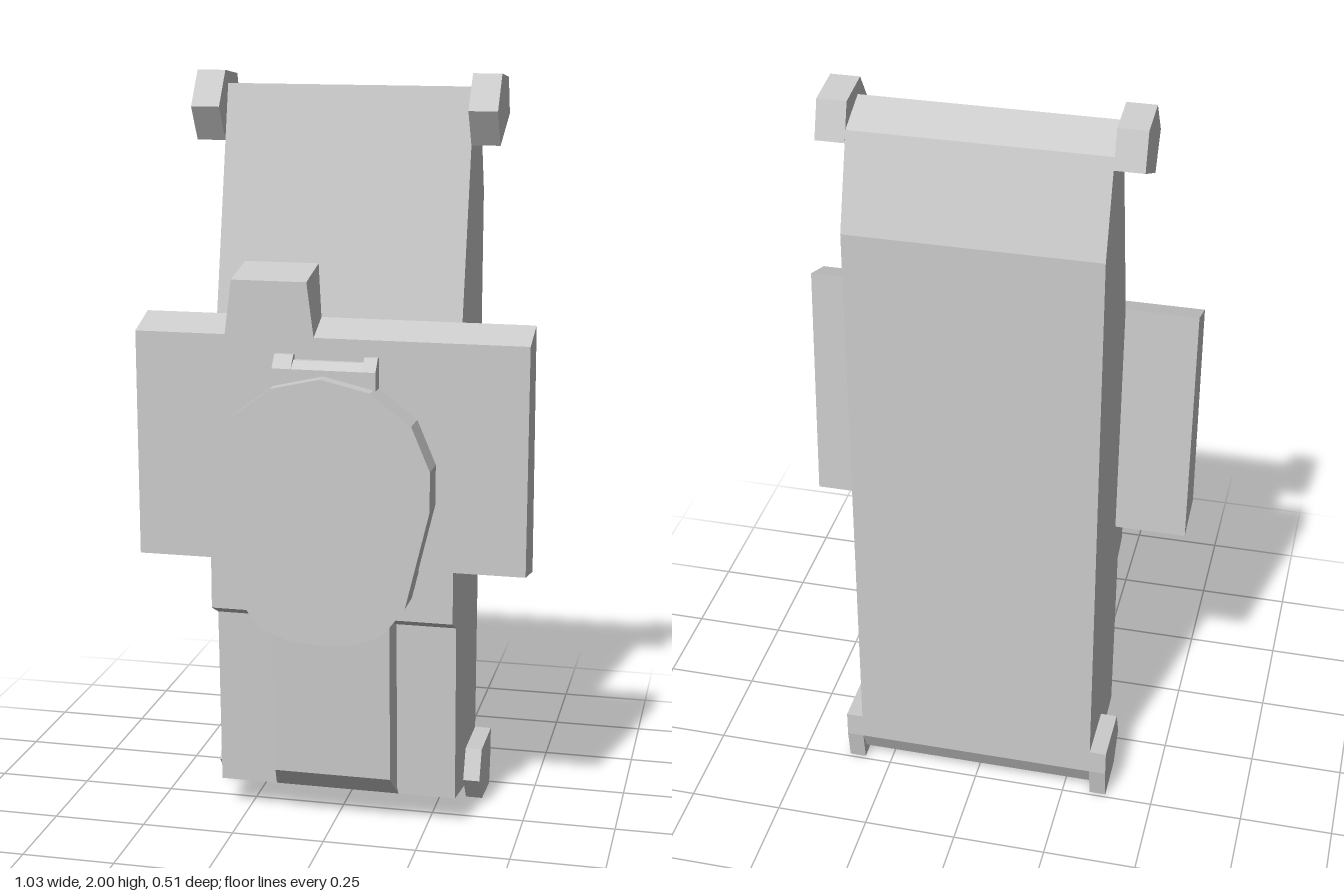
import * as THREE from 'three';

const material = new THREE.MeshStandardMaterial({ color: 0xcccccc, flatShading: true });

const toShape = (points) => new THREE.Shape(points.map(([a, b]) => new THREE.Vector2(a, b)));

// Extrude a side profile of [z, y] points across x0..x1
function sideExtrude(profile, x0, x1) {
  const geo = new THREE.ExtrudeGeometry(toShape(profile), { depth: x1 - x0, bevelEnabled: false });
  return geo.rotateY(-Math.PI / 2).translate(x1, 0, 0);
}

// Scale x about a centre line by a factor that depends on (y, z)
function taper(geo, centre, factor) {
  const p = geo.attributes.position;
  for (let i = 0; i < p.count; i++) {
    p.setX(i, centre + (p.getX(i) - centre) * factor(p.getY(i), p.getZ(i)));
  }
  geo.computeVertexNormals();
  return geo;
}

export function createModel() {
  const model = new THREE.Group();
  const add = (name, geo) => {
    const mesh = new THREE.Mesh(geo, material);
    mesh.name = name;
    model.add(mesh);
  };

  // Main slab with sloped upper front and recessed lower front
  add('body', sideExtrude([
    [-0.255, 0.09], [-0.225, 0.03], [0.08, 0.082], [0.097, 0.57], [0.157, 0.6],
    [0.157, 0.8], [0.065, 1.38], [-0.07, 1.965], [-0.18, 1.92], [-0.255, 1.68],
  ], -0.325, 0.325));

  // Raised panel between the two lower recesses, with slanted sides
  const panel = sideExtrude([
    [0.05, 0.08], [0.08, 0.082], [0.14, 0.145], [0.157, 0.6], [0.05, 0.6],
  ], -0.17, 0.17);
  add('lowerPanel', taper(panel, 0, (y, z) => (z > 0.1 ? 0.93 : 1)));

  // Wide cross plate
  add('crossPlate', sideExtrude([
    [0.035, 0.72], [0.172, 0.745], [0.172, 1.345], [0.065, 1.38],
  ], -0.515, 0.515));

  // Tapered block on top of the plate
  const block = sideExtrude([
    [0.06, 1.345], [0.172, 1.345], [0.172, 1.487], [0.035, 1.515], [0.065, 1.38],
  ], -0.275, -0.04);
  add('topBlock', taper(block, -0.157, (y) => 1 - Math.min(1, (y - 1.345) / 0.145) * 0.16));

  // Egg-shaped front disc
  const half = [
    [0.13, 1.225], [0.235, 1.145], [0.284, 1.03], [0.284, 0.925],
    [0.222, 0.665], [0.165, 0.59], [0.085, 0.556],
  ];
  const outline = [
    [0, 1.255], ...half, [0, 0.55], ...half.slice().reverse().map(([x, y]) => [-x, y]),
  ].reverse();
  const disc = new THREE.ExtrudeGeometry(toShape(outline), { depth: 0.1, bevelEnabled: false });
  add('frontDisc', disc.translate(-0.005, 0, 0.155));

  // Small clip above the disc: notched bar made of a middle and two ends
  const clip = (top) => [[0.165, 1.2], [0.215, 1.2], [0.215, 1.27], [0.186, top], [0.165, top]];
  add('clipMiddle', sideExtrude(clip(1.288), -0.09, 0.095));
  add('clipRight', sideExtrude(clip(1.302), -0.14, -0.09));
  add('clipLeft', sideExtrude(clip(1.302), 0.095, 0.13));

  // Corner bumpers, mirrored left and right
  const upper = [[-0.19, 1.89], [-0.035, 1.82], [0.02, 1.91], [-0.045, 2.0], [-0.16, 1.985]];
  const lower = [
    [-0.255, 0.09], [-0.24, 0], [-0.11, 0.008], [-0.055, 0.08], [-0.09, 0.16], [-0.255, 0.16],
  ];
  for (const [side, s] of [['Left', 1], ['Right', -1]]) {
    const span = (w) => (s > 0 ? [0.325, w] : [-w, -0.325]);
    add('upperBumper' + side, sideExtrude(upper, ...span(0.4)));
    add('lowerBumper' + side, sideExtrude(lower, ...span(0.37)));
  }

  return model;
}
